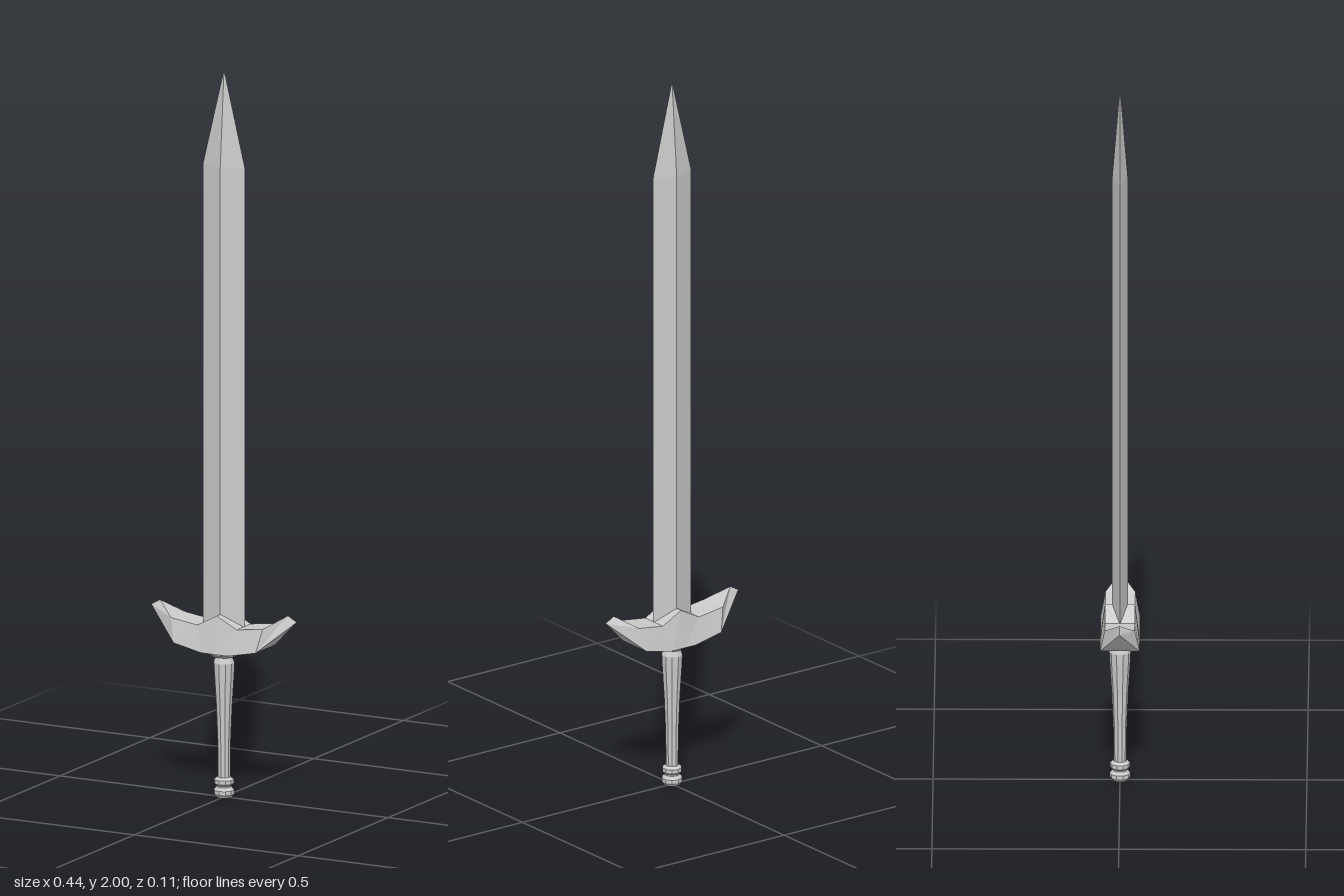
import * as THREE from 'three';

const material = new THREE.MeshStandardMaterial({ color: 0xcccccc, flatShading: true });

function flatMesh(name, geometry) {
  const g = geometry.index ? geometry.toNonIndexed() : geometry;
  g.computeVertexNormals();
  const mesh = new THREE.Mesh(g, material);
  mesh.name = name;
  return mesh;
}

// Faceted turned part from [radius, y] pairs, bottom to top
function turned(name, profile, sides) {
  const points = profile.map(([r, y]) => new THREE.Vector2(r, y));
  return flatMesh(name, new THREE.LatheGeometry(points, sides));
}

// Mirrors half a rail of [x, y, z], running from the tip to the middle, across x = 0
function mirrorRail(half) {
  return [...half, ...half.slice(0, -1).reverse().map(([x, y, z]) => [-x, y, z])];
}

// Crossguard: four-cornered sections between a lower and an upper rail
function guardGeometry() {
  const lower = mirrorRail([[-0.222, 0.505, 0], [-0.125, 0.42, 0.053], [-0.04, 0.402, 0.053], [0, 0.402, 0.053]]);
  const upper = mirrorRail([[-0.195, 0.52, 0], [-0.14, 0.485, 0.04], [-0.06, 0.474, 0.04], [0, 0.506, 0.04]]);
  const positions = [];
  const index = [];
  lower.forEach(([lx, ly, lz], i) => {
    const [ux, uy, uz] = upper[i];
    positions.push(lx, ly, lz, ux, uy, uz, ux, uy, -uz, lx, ly, -lz);
    if (i === lower.length - 1) return;
    for (let k = 0; k < 4; k++) {
      const a = i * 4 + k;
      const d = i * 4 + (k + 1) % 4;
      index.push(a, a + 4, d + 4, a, d + 4, d);
    }
  });
  const g = new THREE.BufferGeometry();
  g.setAttribute('position', new THREE.Float32BufferAttribute(positions, 3));
  g.setIndex(index);
  return g;
}

export function createModel() {
  const sword = new THREE.Group();
  sword.name = 'sword';

  // Diamond-section blade, tapering to a point
  const blade = turned('blade', [[0, 0.43], [1, 0.43], [1, 1.735], [0, 2]], 4);
  blade.geometry.scale(0.064, 1, 0.021);
  blade.geometry.computeVertexNormals();
  sword.add(blade);

  sword.add(flatMesh('crossguard', guardGeometry()));

  // Collar under the guard
  sword.add(turned('collar', [[0, 0.388], [0.032, 0.388], [0.042, 0.396], [0.042, 0.406], [0, 0.406]], 10));

  // Grip, widening towards the guard
  sword.add(turned('grip', [
    [0, 0.045], [0.017, 0.045], [0.018, 0.15], [0.022, 0.25], [0.028, 0.345],
    [0.029, 0.37], [0.023, 0.385], [0.023, 0.395], [0, 0.395],
  ], 10));

  // Two-ringed pommel
  sword.add(turned('pommel', [
    [0, 0], [0.021, 0], [0.028, 0.009], [0.028, 0.02], [0.021, 0.029],
    [0.021, 0.033], [0.027, 0.038], [0.027, 0.049], [0.018, 0.056], [0, 0.056],
  ], 10));

  return sword;
}
